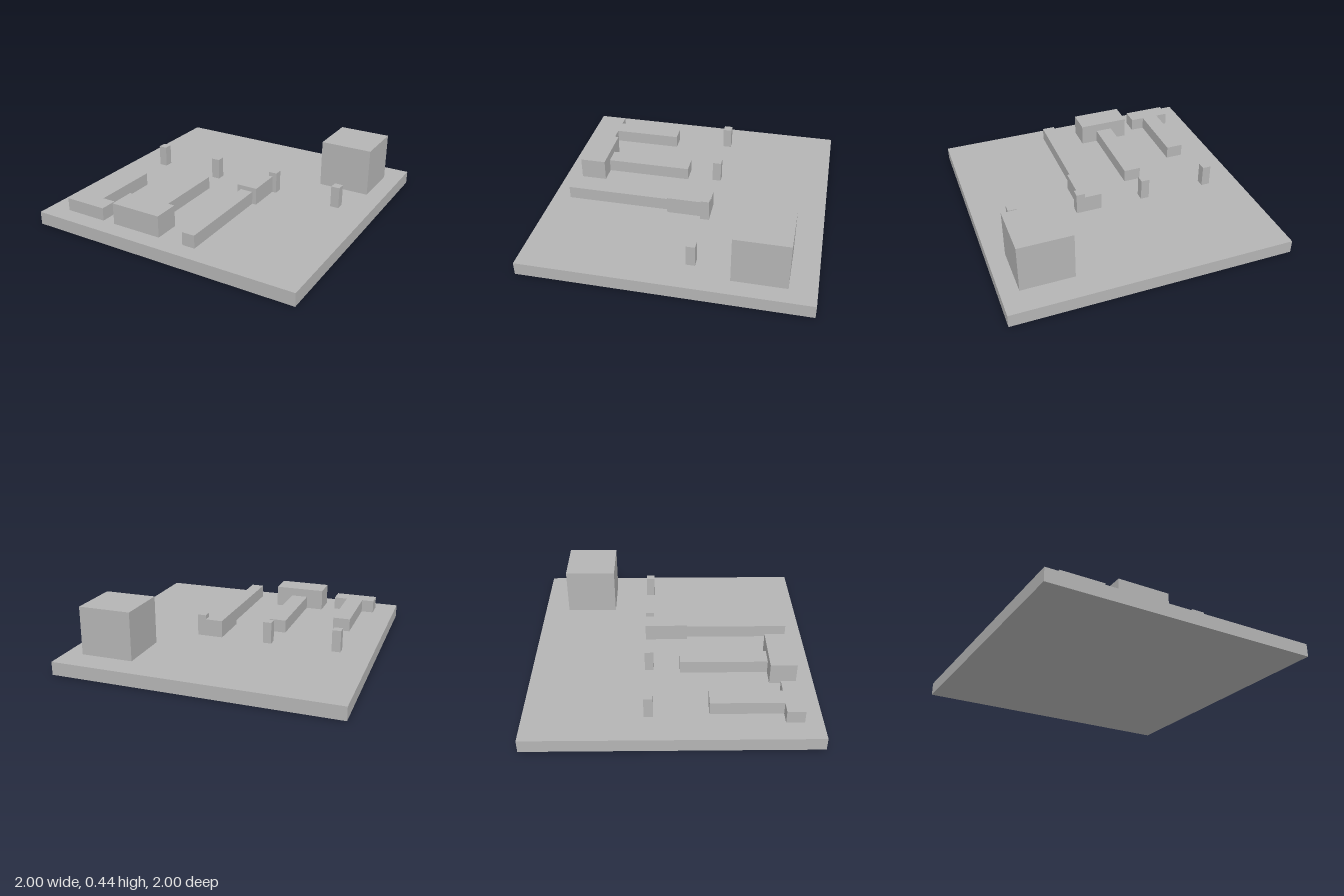
import * as THREE from 'three';

const BASE_TOP = 0.094;

export function createModel() {
  const model = new THREE.Group();
  const grey = new THREE.MeshStandardMaterial({ color: 0xb4b4b4 });
  grey.name = 'grey';

  // Box spanning the given ranges on each axis
  function block(name, [x0, x1], [y0, y1], [z0, z1], parent = model) {
    const mesh = new THREE.Mesh(new THREE.BoxGeometry(x1 - x0, y1 - y0, z1 - z0), grey);
    mesh.position.set((x0 + x1) / 2, (y0 + y1) / 2, (z0 + z1) / 2);
    mesh.name = name;
    parent.add(mesh);
  }

  // A head and a handle lying on the board
  function tool(name, head, handle) {
    const group = new THREE.Group();
    group.name = name;
    block('head', head.x, [BASE_TOP, head.top], head.z, group);
    block('handle', handle.x, [BASE_TOP, handle.top], handle.z, group);
    model.add(group);
  }

  block('baseBoard', [-1, 1], [0, BASE_TOP], [-1, 1]);
  block('cornerBlock', [0.5, 0.875], [BASE_TOP, 0.438], [-0.813, -0.438]);

  // Row of small pegs
  for (const x of [-0.75, -0.25, 0.25, 0.75]) {
    block('peg', [x - 0.031, x + 0.031], [BASE_TOP, 0.25], [-0.188, -0.125]);
  }

  tool('shortTool',
    { x: [-0.844, -0.531], top: 0.188, z: [0.75, 0.875] },
    { x: [-0.755, -0.63], top: 0.188, z: [0.25, 0.75] });
  tool('malletTool',
    { x: [-0.438, -0.063], top: 0.25, z: [0.688, 0.875] },
    { x: [-0.313, -0.188], top: 0.188, z: [0.063, 0.688] });
  tool('longTool',
    { x: [0.094, 0.25], top: 0.219, z: [-0.188, 0.125] },
    { x: [0.125, 0.219], top: 0.188, z: [0.125, 0.875] });

  return model;
}
